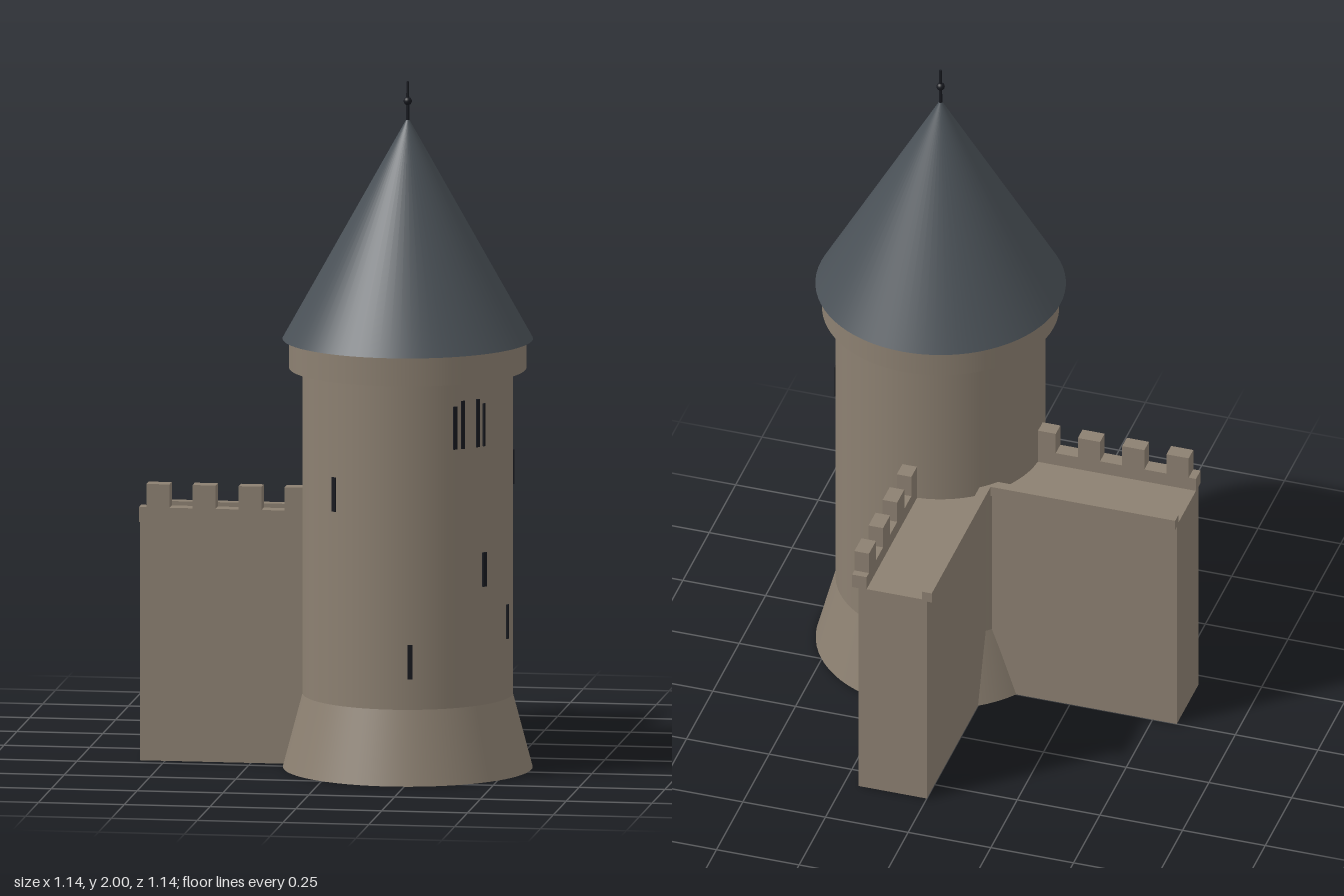
import * as THREE from 'three';

const mat = (name, color) => {
  const m = new THREE.MeshStandardMaterial({ color });
  m.name = name;
  return m;
};
const stone = mat('stone', 0x8c8071);
const slate = mat('roof slate', 0x4a5157);
const dark = mat('dark opening', 0x17191f);

const C = 0.207;   // tower axis, on both x and z
const R = 0.303;   // tower shaft radius
const END = -0.573; // free end of each wall

function add(parent, name, geo, material, x = 0, y = 0, z = 0) {
  const mesh = new THREE.Mesh(geo, material);
  mesh.name = name;
  mesh.position.set(x, y, z);
  parent.add(mesh);
  return mesh;
}

// Round section between two heights
function drum(parent, name, rTop, rBottom, y0, y1, material, open = false) {
  const geo = new THREE.CylinderGeometry(rTop, rBottom, y1 - y0, 72, 1, open);
  return add(parent, name, geo, material, 0, (y0 + y1) / 2, 0);
}

// Box given by its limits
function block(parent, name, x0, x1, y0, y1, z0, z1) {
  const geo = new THREE.BoxGeometry(x1 - x0, y1 - y0, z1 - z0);
  return add(parent, name, geo, stone, (x0 + x1) / 2, (y0 + y1) / 2, (z0 + z1) / 2);
}

// Thin dark slit on the shaft; angle in degrees from +z towards +x
function slit(parent, name, angle, y0, y1, width = 0.014) {
  const a = THREE.MathUtils.degToRad(angle);
  const geo = new THREE.BoxGeometry(width, y1 - y0, 0.009);
  const mesh = add(parent, name, geo, dark, R * Math.sin(a), (y0 + y1) / 2, R * Math.cos(a));
  mesh.rotation.y = a;
}

function createTower() {
  const tower = new THREE.Group();
  tower.name = 'tower';
  drum(tower, 'flaredBase', R, 0.36, 0, 0.215, stone);
  drum(tower, 'shaft', R, R, 0.215, 1.17, stone, true);
  drum(tower, 'collar', 0.342, 0.342, 1.165, 1.25, stone);
  drum(tower, 'roof', 0.001, 0.361, 1.25, 1.895, slate);

  // Spire with a small ball
  drum(tower, 'spire', 0.004, 0.005, 1.88, 2, dark);
  add(tower, 'spireBall', new THREE.SphereGeometry(0.012, 20, 14), dark, 0, 1.943, 0);

  // Arrow slits: angle and lower edge
  for (const [angle, y] of [[-35.7, 0.78], [9.7, 0.305], [55, 0.56], [79, 0.39], [99.5, 0.825]]) {
    slit(tower, 'arrowSlit', angle, y, y + 0.1);
  }
  // Paired upper window
  for (const [angle, top, width] of [[35.3, 1.095, 0.012], [40, 1.11, 0.012], [50, 1.11, 0.012], [54.7, 1.095, 0.008]]) {
    slit(tower, 'upperWindow', angle, 0.97, top, width);
  }
  tower.position.set(C, 0, C);
  return tower;
}

// Wall running along x, with its outer face towards +z
function createWall(name) {
  const wall = new THREE.Group();
  wall.name = name;
  block(wall, 'wallBody', END, C, 0, 0.7, 0, C);
  block(wall, 'parapet', END, C, 0.698, 0.742, 0.182, 0.226);
  block(wall, 'innerCurb', END, 0.015, 0.695, 0.727, -0.015, 0.015);
  for (let i = 0; i < 4; i++) {
    const x = -0.551 + i * 0.134;
    block(wall, 'merlon', x, x + 0.067, 0.742, 0.81, 0.182, 0.226);
  }
  return wall;
}

export function createModel() {
  const model = new THREE.Group();
  model.name = 'castleCornerTower';
  model.add(createTower(), createWall('sideWall'));

  // The second wall swaps x and z of the first
  const back = createWall('backWall');
  for (const part of back.children) {
    part.position.set(part.position.z, part.position.y, part.position.x);
    part.rotation.y = Math.PI / 2;
  }
  model.add(back);
  return model;
}
